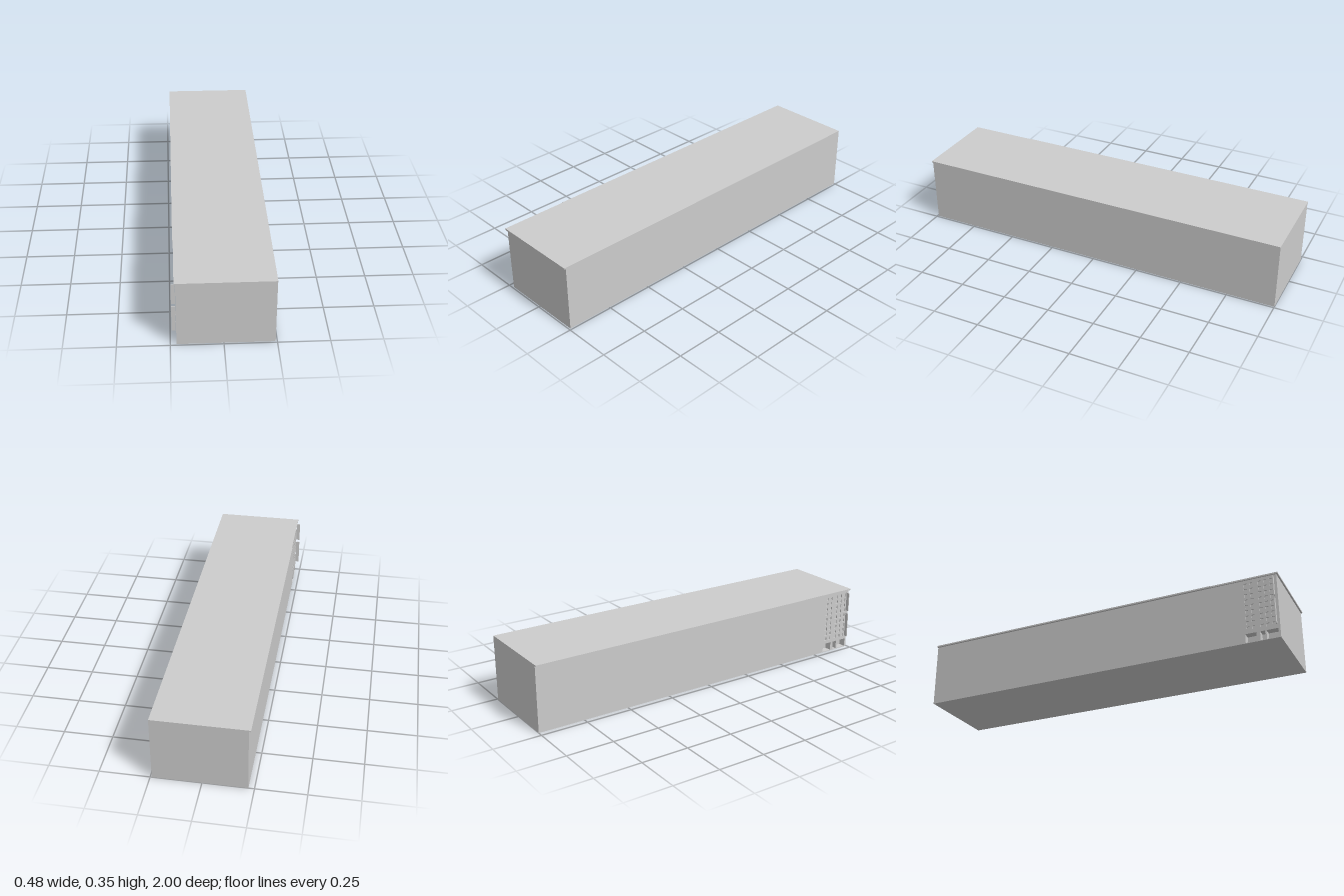
import * as THREE from 'three';

export function createModel() {
  const model = new THREE.Group();
  const concrete = new THREE.MeshStandardMaterial({ color: 0xcccccc });
  concrete.name = 'concrete grey';

  const RIGHT = -0.221, LEFT = 0.242, BACK = -1, FRONT = 0.992;
  const EAVES = 0.345, TOP = 0.353, SHOP_TOP = 0.055, BAY = 0.8;

  // Box given by its limits on each axis
  function box(name, x0, x1, y0, y1, z0, z1) {
    const geometry = new THREE.BoxGeometry(x1 - x0, y1 - y0, z1 - z0);
    geometry.translate((x0 + x1) / 2, (y0 + y1) / 2, (z0 + z1) / 2);
    const mesh = new THREE.Mesh(geometry, concrete);
    mesh.name = name;
    model.add(mesh);
  }

  function trace(path, z0, z1, y0, y1) {
    path.moveTo(z0, y0);
    path.lineTo(z1, y0);
    path.lineTo(z1, y1);
    path.lineTo(z0, y1);
    path.closePath();
    return path;
  }

  // Pierced wall on the right side; openings are [z0, z1, y0, y1]
  function facade(name, y0, y1, depth, openings) {
    const shape = trace(new THREE.Shape(), BAY, FRONT, y0, y1);
    for (const o of openings) shape.holes.push(trace(new THREE.Path(), ...o));
    const geometry = new THREE.ExtrudeGeometry(shape, { depth, bevelEnabled: false });
    geometry.rotateY(-Math.PI / 2);
    geometry.translate(RIGHT + depth, 0, 0);
    const mesh = new THREE.Mesh(geometry, concrete);
    mesh.name = name;
    model.add(mesh);
  }

  // Long plain block and the core behind the front bay
  const shopDepth = 0.04, windowDepth = 0.006;
  box('mainBlock', RIGHT, LEFT, 0, EAVES, BACK, BAY);
  box('shopCore', RIGHT + shopDepth, LEFT, 0, SHOP_TOP, BAY, FRONT);
  box('upperCore', RIGHT + windowDepth, LEFT, SHOP_TOP, EAVES, BAY, FRONT);

  // Ground floor openings
  facade('shopFront', 0, SHOP_TOP, shopDepth, [
    [0.815, 0.872, 0.003, 0.05],
    [0.89, 0.915, 0.003, 0.05],
    [0.922, 0.982, 0.003, 0.05],
  ]);

  // Rows of small recessed windows
  const windows = [];
  for (const z of [0.83, 0.86, 0.903, 0.932, 0.961]) {
    for (let row = 0; row < 9; row++) {
      const y = 0.07 + row * 0.03;
      windows.push([z - 0.008, z + 0.008, y, y + 0.018]);
    }
  }
  facade('windowWall', SHOP_TOP, EAVES, windowDepth, windows);

  // Flat roof, overhanging less along the front bay
  box('roofSlab', -0.231, LEFT, EAVES, TOP, BACK, 0.65);
  box('frontRoofSlab', -0.228, LEFT, EAVES, TOP, 0.65, 1);

  // Blank projecting signboards on small brackets
  for (const [y0, y1, brackets] of [
    [0.226, 0.333, [0.272, 0.315]],
    [0.071, 0.21, [0.118, 0.16]],
  ]) {
    box('signboard', -0.242, -0.223, y0, y1, 0.975, 0.979);
    for (const y of brackets) box('signBracket', -0.2235, RIGHT, y - 0.002, y + 0.002, 0.976, 0.978);
  }
  return model;
}
